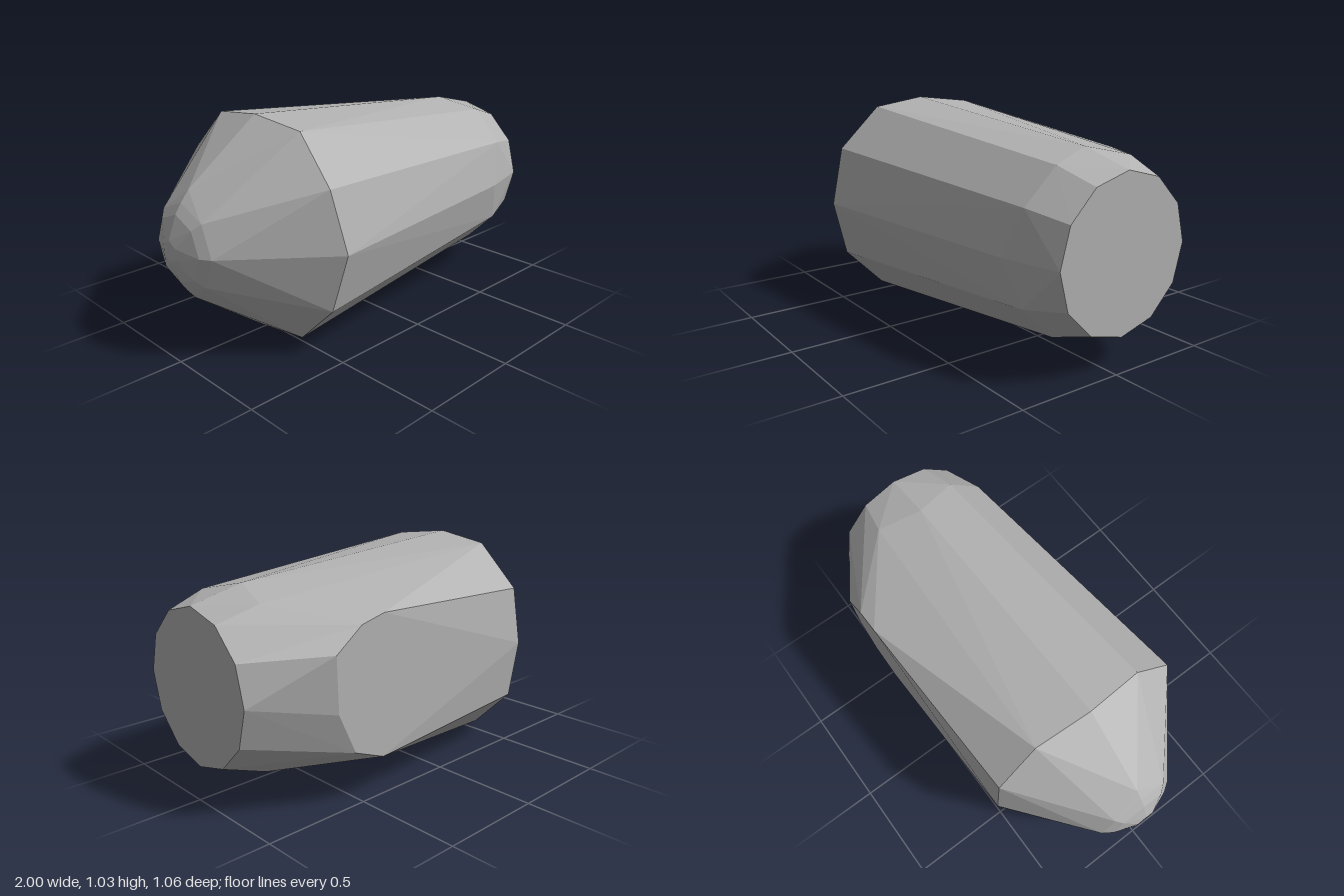
import * as THREE from 'three';
import { ConvexGeometry } from 'three/addons/geometries/ConvexGeometry.js';

const AXIS_Y = 0.515, AXIS_Z = -0.02, BACK = -0.53;

// One faceted ring around the x axis; xs gives a slightly uneven station per corner.
// Corners are trimmed to a half height and to the flat cut on the back.
function ring(xs, radius, sides, halfHeight = radius) {
  const points = [];
  for (let i = 0; i < sides; i++) {
    const a = (i / sides) * Math.PI * 2; // 0 = top, quarter turn = front
    const y = THREE.MathUtils.clamp(radius * Math.cos(a), -halfHeight, halfHeight);
    const z = Math.max(AXIS_Z + radius * Math.sin(a), BACK);
    points.push(new THREE.Vector3(xs[i % xs.length], AXIS_Y + y, z));
  }
  return points;
}

export function createModel() {
  const model = new THREE.Group();
  const grey = new THREE.MeshStandardMaterial({ color: 0xb2b2b2 });
  grey.name = 'stone grey';

  const points = [
    // flat end disc
    ...ring([1], 0.35, 12),
    // shoulder bevel
    ...ring([0.75, 0.81, 0.8, 0.72, 0.8, 0.81], 0.42, 12, 0.411),
    // widest ring
    ...ring([-0.53, -0.51, -0.53, -0.5, -0.52, -0.52, -0.53, -0.52, -0.52, -0.54, -0.52, -0.51], 0.553, 12, 0.513),
    // rounded nose
    ...ring([-0.89, -0.87, -0.86, -0.87, -0.89, -0.87, -0.87, -0.87], 0.248, 8),
    ...ring([-0.93], 0.2, 8),
    ...ring([-0.96], 0.155, 8),
    ...ring([-1], 0.05, 6),
  ];

  // outline of the flat cut on the back, as [x, y]
  const cut = [[0.41, 0.83], [0.535, 0.8], [0.67, 0.7], [0.66, 0.45],
    [0.57, 0.26], [0.41, 0.195]];
  for (const [x, y] of cut) points.push(new THREE.Vector3(x, y, BACK));

  const body = new THREE.Mesh(new ConvexGeometry(points), grey);
  body.name = 'facetedBody';
  model.add(body);
  return model;
}
